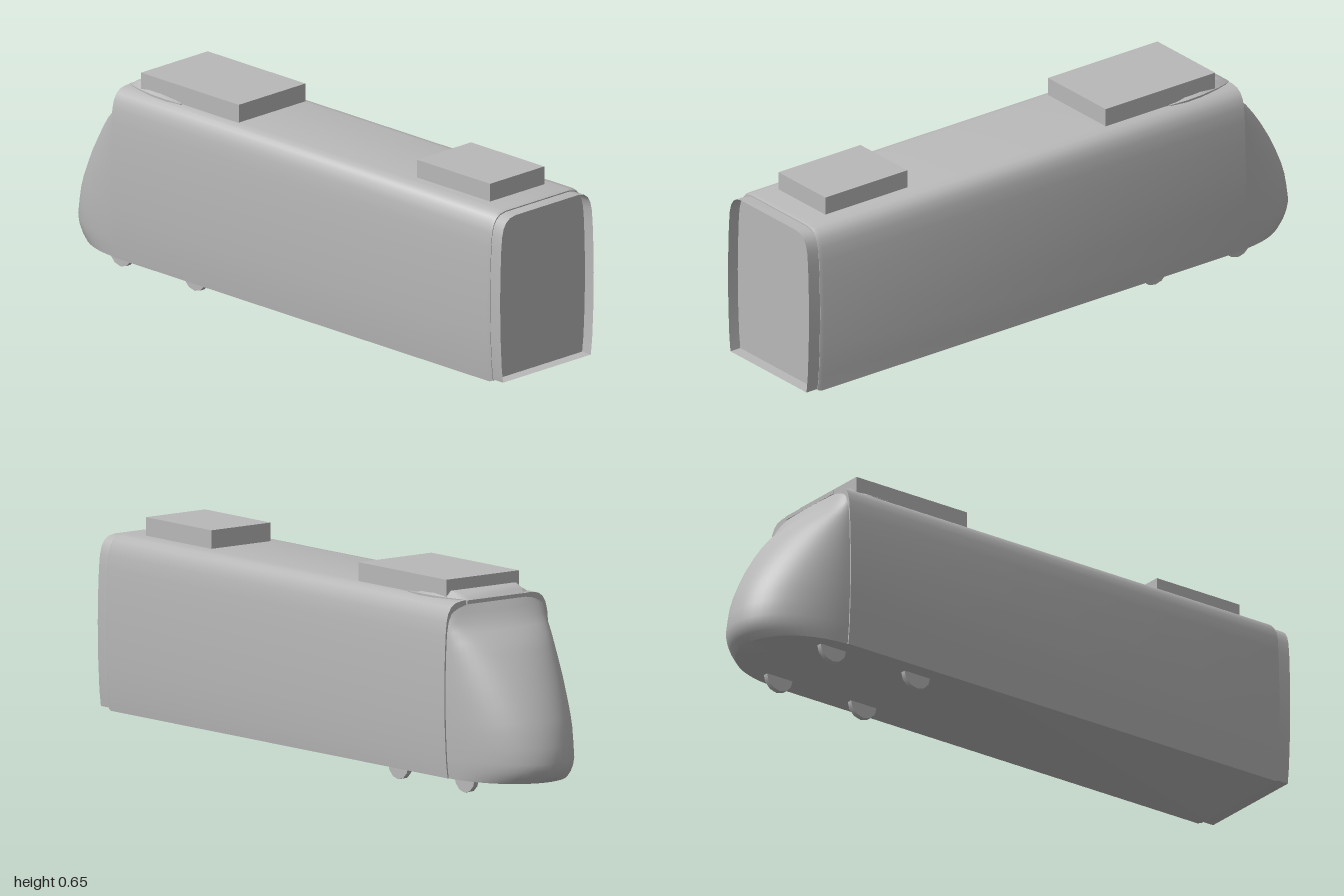
import * as THREE from 'three';
import { toCreasedNormals } from 'three/addons/utils/BufferGeometryUtils.js';

const grey = new THREE.MeshStandardMaterial({ color: 0xb8b8b8, side: THREE.DoubleSide });
grey.name = 'light grey';

// Right half of the car's cross-section, bottom to top
const PROFILE = [[0.196, 0.047], [0.202, 0.1], [0.207, 0.2], [0.209, 0.32], [0.207, 0.42], [0.204, 0.49],
  [0.2, 0.535], [0.193, 0.562], [0.182, 0.58], [0.165, 0.592], [0.14, 0.597]];
const MID_Y = 0.322;

// Closed outline, counter-clockwise seen from +z
function section(z, sx = 1, sy = 1) {
  const right = PROFILE.map(([x, y]) => new THREE.Vector3(x * sx, MID_Y + (y - MID_Y) * sy, z));
  const left = right.map((p) => new THREE.Vector3(-p.x, p.y, z)).reverse();
  return [...right, ...left];
}

// Skin between closed rings, with optional end caps
function loft(rings, caps = true, crease = 0.6) {
  const n = rings[0].length;
  const pos = [];
  const tri = (a, b, c) => pos.push(...a.toArray(), ...b.toArray(), ...c.toArray());
  for (let i = 0; i < rings.length - 1; i++) {
    for (let j = 0; j < n; j++) {
      const k = (j + 1) % n;
      tri(rings[i][j], rings[i][k], rings[i + 1][k]);
      tri(rings[i][j], rings[i + 1][k], rings[i + 1][j]);
    }
  }
  if (caps) {
    const centre = (r) => r.reduce((s, p) => s.add(p), new THREE.Vector3()).divideScalar(n);
    const first = rings[0], last = rings[rings.length - 1];
    const c0 = centre(first), c1 = centre(last);
    for (let j = 0; j < n; j++) {
      const k = (j + 1) % n;
      tri(c0, first[k], first[j]);
      tri(c1, last[j], last[k]);
    }
  }
  const geo = new THREE.BufferGeometry();
  geo.setAttribute('position', new THREE.Float32BufferAttribute(pos, 3));
  return toCreasedNormals(geo, crease);
}

// Half width of the car at a height
function widthAt(y) {
  for (let i = 1; i < PROFILE.length; i++) {
    const [x0, y0] = PROFILE[i - 1], [x1, y1] = PROFILE[i];
    if (y <= y1) return x0 + (x1 - x0) * (y - y0) / (y1 - y0);
  }
  return PROFILE[PROFILE.length - 1][0];
}

// Rounded nose: half-oval slices stacked from the floor to the roof
function noseGeometry() {
  const root = -0.7, steps = 28;
  const reach = [[0.047, 0.262], [0.065, 0.282], [0.085, 0.294], [0.11, 0.3], [0.16, 0.291], [0.2, 0.282],
    [0.24, 0.268], [0.29, 0.244], [0.342, 0.216], [0.4, 0.178], [0.44, 0.148], [0.475, 0.118],
    [0.505, 0.08], [0.53, 0.05], [0.56, 0.03], [0.592, 0.008]];
  const rings = reach.map(([y, length]) => {
    const w = widthAt(y) - 0.004;
    const ring = [];
    for (let i = 0; i <= steps; i++) {
      const t = Math.PI * i / steps;
      ring.push(new THREE.Vector3(w * Math.cos(t), y, root - length * Math.pow(Math.sin(t), 0.95)));
    }
    return ring;
  });
  return loft(rings, true, 0.75);
}

// Low fairing rising toward the front of the roof
function fairingGeometry() {
  const stations = [[-0.713, 0.12, 0.597], [-0.69, 0.135, 0.611], [-0.65, 0.145, 0.62],
    [-0.58, 0.155, 0.613], [-0.52, 0.157, 0.608], [-0.46, 0.15, 0.598]];
  return loft(stations.map(([z, w, top]) => [[w, 0.585], [w, 0.6], [w - 0.02, top],
    [0.02 - w, top], [-w, 0.6], [-w, 0.585]].map(([x, y]) => new THREE.Vector3(x, Math.min(y, top), z))));
}

export function createModel() {
  const model = new THREE.Group();
  model.name = 'railCar';
  const add = (name, geo, x = 0, y = 0, z = 0) => {
    const mesh = new THREE.Mesh(geo, grey);
    mesh.name = name;
    mesh.position.set(x, y, z);
    model.add(mesh);
    return mesh;
  };

  // Long body and nose
  add('body', loft([section(-0.71), section(0.945), section(0.957, 0.98, 0.985)]));
  add('nose', noseGeometry());

  // Open gangway collar with a recessed end wall
  add('gangwayCollar', loft([section(0.95, 0.972, 0.972), section(1, 0.972, 0.972)], false));
  const wall = new THREE.Shape(section(0, 0.97, 0.97).map((p) => new THREE.Vector2(p.x, p.y)));
  add('endWall', new THREE.ShapeGeometry(wall), 0, 0, 0.962);

  // Roof equipment
  add('roofFairing', fairingGeometry());
  add('frontRoofUnit', new THREE.BoxGeometry(0.289, 0.065, 0.43), 0, 0.6225, -0.425);
  add('rearRoofUnit', new THREE.BoxGeometry(0.235, 0.065, 0.322), 0, 0.6225, 0.708);

  // Wheels, mostly hidden in the floor
  const wheel = toCreasedNormals(new THREE.CylinderGeometry(0.05, 0.05, 0.017, 12).rotateZ(Math.PI / 2), 0.6);
  for (const side of [1, -1]) {
    for (const z of [-0.404, -0.73]) {
      add(side > 0 ? 'leftWheel' : 'rightWheel', wheel, side * 0.1365, 0.05, z);
    }
  }
  return model;
}
